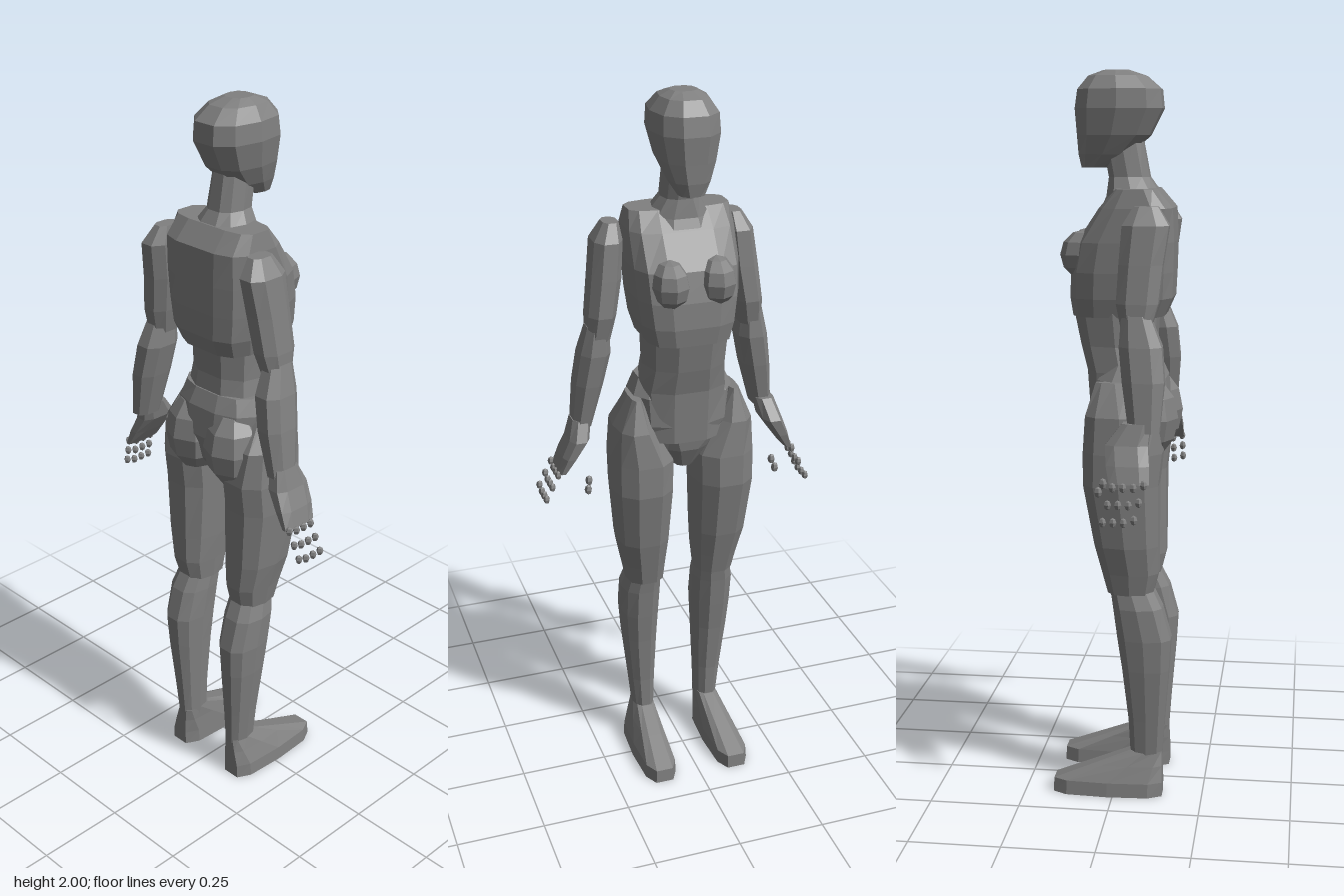
import * as THREE from 'three';

const grey = new THREE.MeshStandardMaterial({ color: 0x808080, flatShading: true });
grey.name = 'mid grey';

function part(name, geometry) {
  const mesh = new THREE.Mesh(geometry, grey);
  mesh.name = name;
  return mesh;
}

// Closed loft through level sections [y, xBack, xFront, zMin, zMax], lowest first.
// power below 1 makes the outline boxier.
function loft(name, sections, sides = 10, power = 0.8) {
  const pos = [], index = [];
  const bend = v => Math.sign(v) * Math.abs(v) ** power;
  for (const [y, x0, x1, z0, z1] of sections) {
    for (let j = 0; j < sides; j++) {
      const a = ((j + 0.5) / sides) * Math.PI * 2;
      const fit = Math.cos(Math.PI / sides) ** power;
      pos.push((x0 + x1) / 2 + (x1 - x0) / 2 * bend(Math.cos(a)) / fit, y,
        (z0 + z1) / 2 + Math.abs(z1 - z0) / 2 * bend(Math.sin(a)));
    }
  }
  const top = (sections.length - 1) * sides;
  for (let i = 0; i < top; i += sides) {
    for (let j = 0; j < sides; j++) {
      const a = i + j, b = i + (j + 1) % sides;
      index.push(b, a, a + sides, b, a + sides, b + sides);
    }
  }
  for (let j = 1; j < sides - 1; j++) index.push(0, j, j + 1, top, top + j + 1, top + j);
  const g = new THREE.BufferGeometry();
  g.setAttribute('position', new THREE.Float32BufferAttribute(pos, 3));
  g.setIndex(index);
  g.computeVertexNormals();
  return part(name, g);
}

// Section symmetric about the middle of the body
const mid = rows => rows.map(([y, x0, x1, w]) => [y, x0, x1, -w, w]);

// Faceted ellipsoid
function blob(name, [x, y, z], [rx, ry, rz], w = 8, h = 6) {
  const mesh = part(name, new THREE.SphereGeometry(1, w, h));
  mesh.scale.set(rx, ry, rz);
  mesh.position.set(x, y, z);
  return mesh;
}

export function createModel() {
  const model = new THREE.Group();
  model.name = 'figure';

  // Head and neck
  model.add(loft('head', mid([
    [1.745, 0.03, 0.10, 0.035], [1.78, -0.03, 0.107, 0.055], [1.83, -0.085, 0.11, 0.075],
    [1.90, -0.12, 0.115, 0.09], [1.95, -0.115, 0.108, 0.087],
    [1.985, -0.075, 0.08, 0.062], [2.0, -0.03, 0.04, 0.035],
  ])));
  model.add(loft('neck', mid([
    [1.60, -0.14, 0.06, 0.11], [1.67, -0.12, 0.03, 0.085],
    [1.72, -0.085, 0.025, 0.052], [1.85, -0.06, 0.05, 0.045],
  ])));

  // Torso
  model.add(loft('chest', mid([
    [1.35, -0.13, 0.118, 0.118], [1.40, -0.152, 0.125, 0.132], [1.47, -0.155, 0.122, 0.142],
    [1.55, -0.157, 0.105, 0.147], [1.64, -0.153, 0.045, 0.147], [1.69, -0.11, 0.0, 0.14],
  ]), 12, 0.55));
  model.add(loft('abdomen', mid([
    [1.05, -0.10, 0.07, 0.12], [1.20, -0.115, 0.08, 0.125],
    [1.27, -0.105, 0.098, 0.115], [1.38, -0.11, 0.12, 0.12],
  ])));
  model.add(loft('pelvis', mid([
    [0.96, -0.07, 0.03, 0.03], [1.02, -0.12, 0.06, 0.075], [1.10, -0.145, 0.073, 0.14],
    [1.18, -0.135, 0.068, 0.145], [1.225, -0.115, 0.035, 0.125],
  ]), 12));

  for (const s of [1, -1]) {
    const side = s > 0 ? 'far' : 'near';
    const limb = new THREE.Group();
    limb.name = s > 0 ? 'limbsAtPositiveZ' : 'limbsAtNegativeZ';
    model.add(limb);
    // Inner and outer z are given for one half and mirrored
    const half = rows => rows.map(([y, x0, x1, zi, zo]) =>
      s > 0 ? [y, x0, x1, zi, zo] : [y, x0, x1, -zo, -zi]);

    limb.add(blob('breast', [0.082, 1.515, 0.064 * s], [0.07, 0.068, 0.054]));
    limb.add(blob('buttock', [-0.085, 1.075, 0.075 * s], [0.087, 0.115, 0.085]));

    // Leg
    limb.add(loft('thigh', half([
      [0.59, -0.11, 0.015, 0.05, 0.16], [0.65, -0.125, 0.03, 0.045, 0.172],
      [0.73, -0.125, 0.05, 0.038, 0.19], [0.90, -0.125, 0.08, 0.03, 0.206],
      [0.99, -0.135, 0.08, 0.028, 0.206], [1.09, -0.12, 0.072, 0.085, 0.196],
      [1.18, -0.06, 0.045, 0.125, 0.155],
    ])));
    limb.add(loft('shin', half([
      [0.10, -0.135, -0.048, 0.07, 0.13], [0.22, -0.143, -0.042, 0.066, 0.143],
      [0.37, -0.155, -0.025, 0.06, 0.16], [0.46, -0.16, -0.012, 0.056, 0.167],
      [0.55, -0.135, 0.0, 0.054, 0.168], [0.61, -0.105, 0.01, 0.056, 0.155],
    ])));
    limb.add(loft('foot', half([
      [0, -0.138, 0.17, 0.06, 0.165], [0.04, -0.138, 0.168, 0.062, 0.162],
      [0.085, -0.137, 0.055, 0.067, 0.145], [0.125, -0.135, -0.045, 0.07, 0.13],
    ]), 10, 0.6));

    // Arm
    limb.add(loft('upperArm', half([
      [1.33, -0.11, -0.035, 0.185, 0.252], [1.40, -0.13, -0.02, 0.168, 0.25],
      [1.50, -0.14, -0.025, 0.15, 0.238], [1.60, -0.155, -0.032, 0.142, 0.225],
      [1.648, -0.125, -0.06, 0.15, 0.195],
    ]), 8));
    limb.add(loft('forearm', half([
      [1.07, -0.14, -0.06, 0.238, 0.295], [1.20, -0.15, -0.04, 0.203, 0.285],
      [1.29, -0.142, -0.03, 0.183, 0.272], [1.37, -0.11, -0.035, 0.188, 0.252],
    ]), 8));

    // Hand, with loose finger joints; one hand is carried further forward
    const fwd = s > 0 ? 0 : 0.035;
    limb.add(loft('hand', half([
      [0.945, -0.155 + fwd, -0.05 + fwd, 0.318, 0.342],
      [0.99, -0.153 + fwd, -0.04 + fwd, 0.285, 0.33],
      [1.04, -0.147 + fwd, -0.035 + fwd, 0.25, 0.31],
      [1.095, -0.135 + fwd / 2, -0.06 + fwd / 2, 0.24, 0.295],
    ]), 8, 0.7));
    for (let f = 0; f < 4; f++) {
      for (let k = 0; k < 3; k++) {
        const x = -0.148 + f * 0.027 + fwd * (1.2 + k * 0.3);
        const y = 0.938 - k * (s > 0 ? 0.035 : 0.042) + (f === 0 ? 0.008 : 0);
        limb.add(blob('fingerJoint', [x, y, s * (0.342 + k * 0.018)], [0.01, 0.013, 0.01], 5, 4));
      }
    }
    for (let k = 0; k < 2; k++) {
      limb.add(blob('thumbJoint',
        [-0.025 + k * 0.012 + fwd, 0.93 - k * 0.022, s * (0.265 + k * 0.006)],
        [0.011, 0.015, 0.011], 5, 4));
    }
  }
  return model;
}
